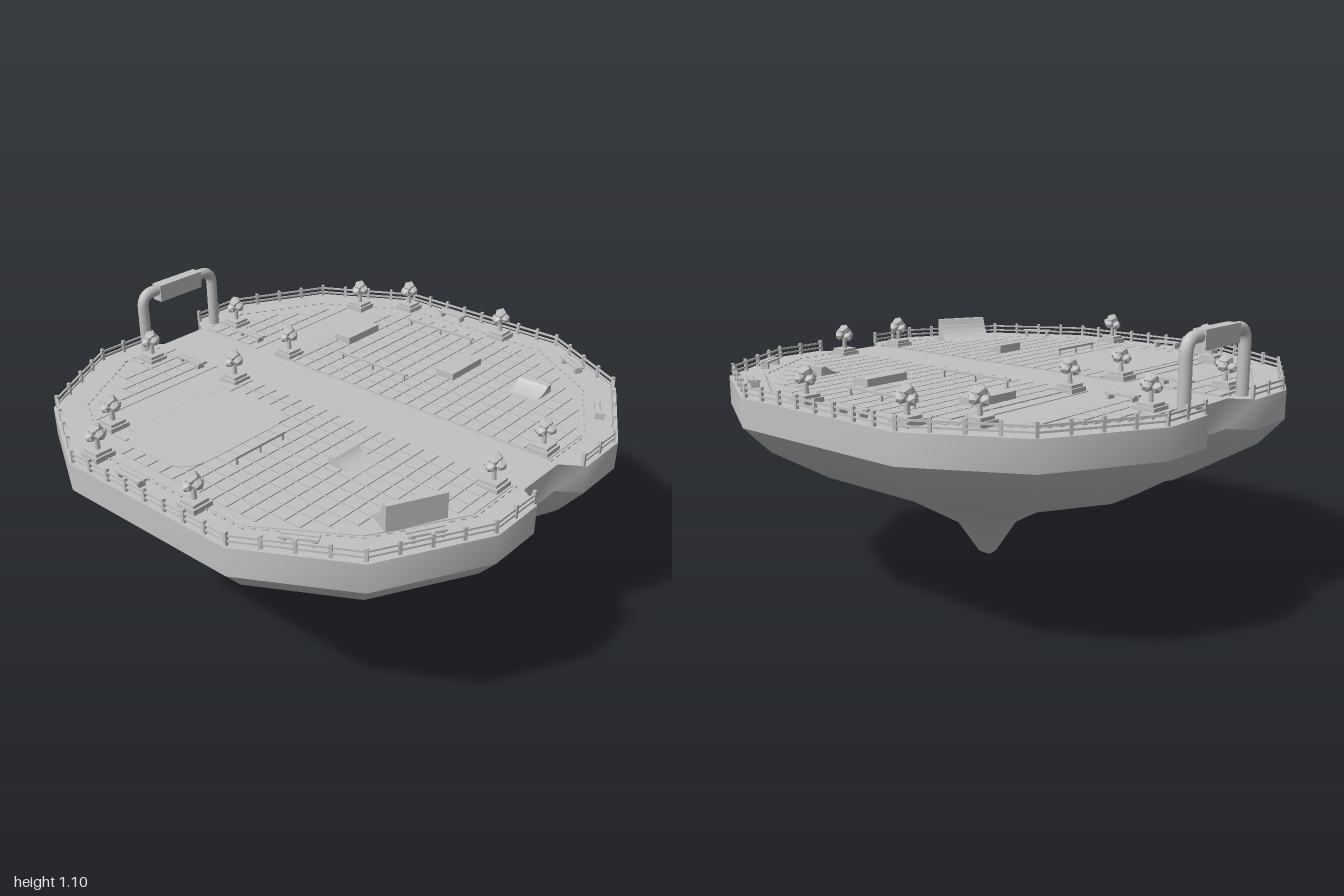
import * as THREE from 'three';
import { mergeGeometries } from 'three/addons/utils/BufferGeometryUtils.js';

const DECK = 0.83, PAVE = 0.833;
const stone = new THREE.MeshStandardMaterial({ color: 0xc2c2c2 });
stone.name = 'pale grey';

// Half outlines, as [x, z], running from front to back on the +x side
const half = [[0.11, 0.91], [0.165, 0.995], [0.39, 0.995], [0.78, 0.78], [1, 0.39],
  [1, -0.39], [0.78, -0.78], [0.39, -0.995], [0.165, -0.995], [0.11, -0.91]];
const outline = [...half, ...half.map(([x, z]) => [-x, z]).reverse()];
const mainPave = [[0.115, 0.87], [0.35, 0.87], [0.67, 0.68], [0.88, 0.35], [0.88, -0.34], [0.80, -0.47], [0.115, -0.47]];
const backPave = [[0.115, -0.57], [0.74, -0.57], [0.67, -0.69], [0.33, -0.88], [0.115, -0.88]];

function add(group, name, geometry, x = 0, y = 0, z = 0, turn = 0) {
  const mesh = new THREE.Mesh(geometry, stone);
  mesh.name = name;
  mesh.position.set(x, y, z);
  mesh.rotation.y = turn;
  group.add(mesh);
  return mesh;
}
const box = (w, h, d, x = 0, y = 0, z = 0, turn = 0) =>
  new THREE.BoxGeometry(w, h, d).rotateY(turn).translate(x, y, z);
const toShape = pts => new THREE.Shape(pts.map(([x, z]) => new THREE.Vector2(x, -z)));
const slab = (shape, h, y) =>
  new THREE.ExtrudeGeometry(shape, { depth: h, bevelEnabled: false, curveSegments: 8 }).rotateX(-Math.PI / 2).translate(0, y, 0);

// Skin between scaled copies of the outline: [y, xScale, zScale, xShift, zShift]
function skin(rings) {
  const n = outline.length, pos = [], idx = [];
  for (const [y, sx, sz, cx, cz] of rings)
    for (const [x, z] of outline) pos.push(cx + x * sx, y, cz + z * sz);
  for (let r = 0; r < rings.length - 1; r++)
    for (let i = 0; i < n; i++) {
      const j = (i + 1) % n, a = r * n + i, b = r * n + j, c = a + n, d = b + n;
      idx.push(c, d, b, c, b, a);
    }
  const g = new THREE.BufferGeometry();
  g.setAttribute('position', new THREE.Float32BufferAttribute(pos, 3));
  g.setIndex(idx);
  g.computeVertexNormals();
  return g;
}

function inside(pts, x, z) {
  let hit = false;
  for (let i = 0, j = pts.length - 1; i < pts.length; j = i++) {
    const [xi, zi] = pts[i], [xj, zj] = pts[j];
    if (zi > z !== zj > z && x < (xj - xi) * (z - zi) / (zj - zi) + xi) hit = !hit;
  }
  return hit;
}

// Square paving stones over one region
function tiles(pts) {
  const parts = [], step = 0.066, r = 0.03;
  for (let x = 0.15; x < 0.9; x += step)
    for (let z = -0.85; z < 0.88; z += step)
      if ([[-r, -r], [r, -r], [r, r], [-r, r]].every(([dx, dz]) => inside(pts, x + dx, z + dz)))
        parts.push(box(2 * r, 0.004, 2 * r, x, PAVE + 0.002, z));
  return mergeGeometries(parts);
}

// Walks along a line of points, calling back at even spacing
function along(pts, gap, fn) {
  for (let i = 0; i < pts.length - 1; i++) {
    const [x0, z0] = pts[i], [x1, z1] = pts[i + 1];
    const len = Math.hypot(x1 - x0, z1 - z0), n = Math.max(1, Math.round(len / gap));
    for (let k = 0; k < n; k++) fn(x0 + (x1 - x0) * k / n, z0 + (z1 - z0) * k / n, Math.atan2(z0 - z1, x1 - x0));
  }
}

// Fence of posts and two bars on one side
function fence(side) {
  const line = half.slice(1, -1).map(([x, z]) => [side * x * 0.985, z * 0.985]);
  const parts = [];
  along(line, 0.1, (x, z, a) => parts.push(box(0.012, 0.05, 0.012, x, DECK + 0.025, z, a)));
  const [ex, ez] = line[line.length - 1];
  parts.push(box(0.012, 0.05, 0.012, ex, DECK + 0.025, ez));
  for (let i = 0; i < line.length - 1; i++) {
    const [x0, z0] = line[i], [x1, z1] = line[i + 1];
    for (const y of [0.016, 0.036])
      parts.push(box(Math.hypot(x1 - x0, z1 - z0), 0.007, 0.007, (x0 + x1) / 2, DECK + y, (z0 + z1) / 2, Math.atan2(z0 - z1, x1 - x0)));
  }
  return mergeGeometries(parts);
}

// Square planter with a small blocky tree
function treeGeometry() {
  const blob = (r, x, y, z) => new THREE.IcosahedronGeometry(r, 0).rotateY(x * 20 + z * 9).translate(x, y, z);
  const parts = [box(0.085, 0.02, 0.085, 0, 0.01, 0), box(0.068, 0.012, 0.068, 0, 0.026, 0),
    new THREE.CylinderGeometry(0.007, 0.011, 0.06, 6).translate(0, 0.055, 0),
    blob(0.028, 0, 0.108, 0)];
  for (const [x, z] of [[1, 0], [-1, 0], [0, 1], [0, -1]])
    parts.push(blob(0.021, x * 0.024, 0.088 + 0.006 * z, z * 0.024));
  return mergeGeometries(parts.map(p => (p.index ? p.toNonIndexed() : p)));
}

// Quarter ramp, low towards -z and high towards +z
function ramp(w, h, d) {
  const s = new THREE.Shape();
  s.moveTo(-d / 2, 0);
  s.lineTo(d / 2, 0);
  s.lineTo(d / 2, h);
  s.lineTo(d * 0.3, h);
  s.quadraticCurveTo(d * 0.1, h * 0.2, -d / 2, 0.004);
  return new THREE.ExtrudeGeometry(s, { depth: w, bevelEnabled: false, curveSegments: 6 })
    .translate(0, 0, -w / 2).rotateY(-Math.PI / 2);
}

// Grind rail along z with legs
const grindRail = len => mergeGeometries([box(0.011, 0.009, len, 0, 0.035, 0),
  ...[-0.46, 0, 0.46].map(t => box(0.008, 0.035, 0.008, 0, 0.0175, t * len))]);

// Bench with two slats along z
const bench = () => mergeGeometries([box(0.016, 0.008, 0.13, -0.011, 0.026, 0), box(0.016, 0.008, 0.13, 0.011, 0.026, 0),
  ...[-0.05, 0.05].map(z => box(0.034, 0.022, 0.012, 0, 0.011, z))]);

export function createModel() {
  const root = new THREE.Group();
  root.name = 'floatingPark';

  // Floating base
  add(root, 'rimBand', skin([[DECK, 1, 1, 0, 0], [0.72, 1, 1, 0, 0]]));
  add(root, 'hull', skin([[0.72, 1, 1, 0, 0], [0.62, 0.91, 0.915, 0, 0], [0.49, 0.70, 0.715, 0, 0.015],
    [0.36, 0.385, 0.395, 0, 0.115], [0.19, 0.12, 0.12, 0, 0.13], [0.02, 0.036, 0.036, -0.066, 0.19], [0, 0, 0, -0.066, 0.18]]));
  add(root, 'deck', new THREE.ShapeGeometry(toShape(outline)).rotateX(-Math.PI / 2).translate(0, DECK, 0));

  // Paving, fences and edge studs, mirrored left and right
  for (const side of [1, -1]) {
    for (const pts of [mainPave, backPave]) {
      const flip = pts.map(([x, z]) => [side * x, z]);
      add(root, 'pavingBed', slab(toShape(flip), PAVE - DECK, DECK));
      const t = tiles(pts);
      if (side < 0) t.rotateY(Math.PI).scale(1, 1, 1);
      if (side < 0) {
        // turned half round, then rebuilt from the mirrored centres
        const p = t.attributes.position, nrm = t.attributes.normal;
        for (let i = 0; i < p.count; i++) { p.setZ(i, -p.getZ(i)); nrm.setZ(i, -nrm.getZ(i)); }
        const ix = t.index;
        for (let i = 0; i < ix.count; i += 3) { const a = ix.getX(i); ix.setX(i, ix.getX(i + 1)); ix.setX(i + 1, a); }
      }
      add(root, 'pavingStones', t);
    }
    add(root, 'fence', fence(side));
    const studs = [];
    along(mainPave.slice(0, 6).concat(backPave.slice(2)), 0.04, (x, z, a) =>
      studs.push(box(0.018, 0.005, 0.006, side * x * 1.012, DECK + 0.0025, z * 1.012, side * a)));
    add(root, 'edgeStuds', mergeGeometries(studs));
  }

  // Smooth rounded pad
  const pad = new THREE.Shape(), [l, r, f, b, c] = [-0.79, -0.23, 0.02, 0.39, 0.13];
  pad.moveTo(l + c, f);
  pad.lineTo(r - c, f); pad.quadraticCurveTo(r, f, r, f + c);
  pad.lineTo(r, b - c); pad.quadraticCurveTo(r, b, r - c, b);
  pad.lineTo(l + c, b); pad.quadraticCurveTo(l, b, l, b - c);
  pad.lineTo(l, f + c); pad.quadraticCurveTo(l, f, l + c, f);
  add(root, 'smoothPad', slab(pad, 0.009, DECK));

  // Trees in planters
  const tree = treeGeometry();
  for (const [x, z] of [[-0.25, -0.82], [0.24, -0.82], [-0.73, -0.48], [0.76, -0.53], [-0.16, -0.42], [0.16, -0.42],
    [-0.9, -0.35], [0.9, -0.35], [-0.9, 0.15], [0.9, 0.15], [-0.16, 0.82], [0.16, 0.82]])
    add(root, 'treePlanter', tree, x, DECK, z);

  // Entrance arch with a plain sign board
  const V = (x, y) => new THREE.Vector3(x, y, 0);
  const path = new THREE.CurvePath();
  path.add(new THREE.LineCurve3(V(-0.195, DECK - 0.01), V(-0.195, 1.02)));
  path.add(new THREE.QuadraticBezierCurve3(V(-0.195, 1.02), V(-0.195, 1.077), V(-0.14, 1.077)));
  path.add(new THREE.LineCurve3(V(-0.14, 1.077), V(0.14, 1.077)));
  path.add(new THREE.QuadraticBezierCurve3(V(0.14, 1.077), V(0.195, 1.077), V(0.195, 1.02)));
  path.add(new THREE.LineCurve3(V(0.195, 1.02), V(0.195, DECK - 0.01)));
  add(root, 'entranceArch', new THREE.TubeGeometry(path, 64, 0.023, 12), 0, 0, -0.92);
  add(root, 'signBoard', box(0.23, 0.07, 0.05), 0, 1.065, -0.92);

  // Ramps, blocks and grind rails
  add(root, 'quarterRamp', ramp(0.22, 0.1, 0.12), -0.49, DECK, 0.715, -0.47);
  add(root, 'smallRamp', ramp(0.13, 0.04, 0.13), -0.355, DECK, 0.375, Math.PI);
  add(root, 'smallRamp', ramp(0.13, 0.04, 0.13), 0.505, DECK, 0.54, Math.PI / 2);
  for (const z of [-0.33, 0.215]) add(root, 'lowBlock', box(0.2, 0.035, 0.08), 0.5, DECK + 0.0175, z);
  for (const x of [0.27, 0.74]) add(root, 'grindRail', grindRail(0.35), x, DECK, -0.055);
  add(root, 'grindRail', grindRail(0.25), -0.515, DECK, 0.07, Math.PI / 2);

  // Benches around the edge
  const seat = bench();
  for (const s of [1, -1])
    for (const [x, z, turn] of [[0.175, -0.66, 0], [0.935, -0.13, 0], [0.83, 0.55, -0.52], [0.55, 0.83, -1.05]])
      add(root, 'bench', seat, s * x, DECK, z, s * turn);

  return root;
}
